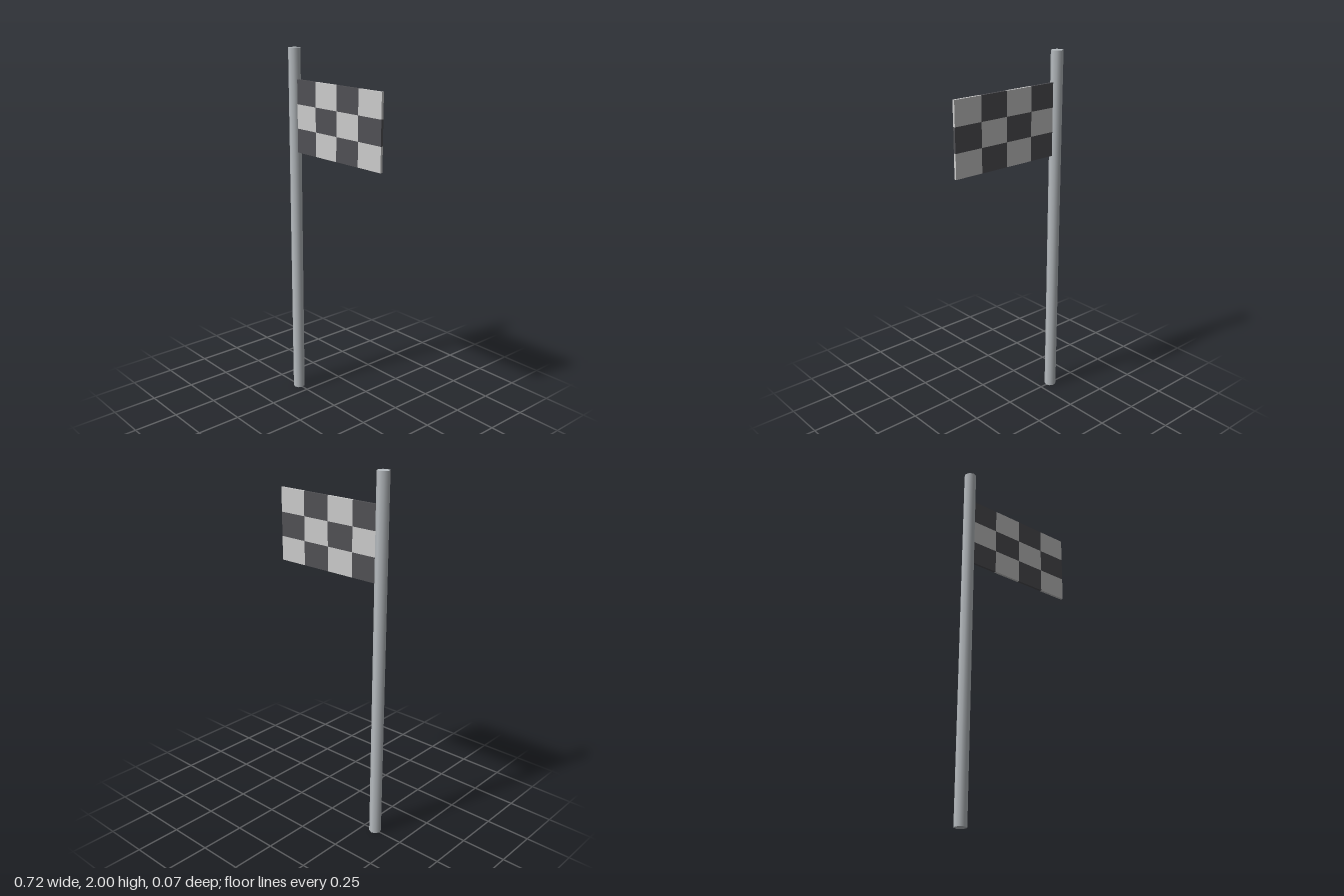
import * as THREE from 'three';

export function createModel() {
  const model = new THREE.Group();
  const mat = (color) => new THREE.MeshStandardMaterial({ color });
  const light = mat(0xcccccc), dark = mat(0x505054), metal = mat(0xb8bdc1);

  // Eight-sided pole
  const poleX = -0.325, radius = 0.033;
  const pole = new THREE.Mesh(new THREE.CylinderGeometry(radius, radius, 2, 8), metal);
  pole.name = 'pole';
  pole.position.set(poleX, 1, 0);
  model.add(pole);

  // Chequered flag: 4 x 3 thin panels, its inner edge set into the pole
  const flag = new THREE.Group();
  flag.name = 'flag';
  const cols = 4, rows = 3, w = 0.166, h = 0.132, left = -0.307, bottom = 1.439;
  const panel = new THREE.BoxGeometry(w, h, 0.0134);
  for (let r = 0; r < rows; r++) {
    for (let c = 0; c < cols; c++) {
      const cell = new THREE.Mesh(panel, (r + c) % 2 === 0 ? dark : light);
      cell.name = `flagPanel${r + 1}_${c + 1}`;
      cell.position.set(left + w * (c + 0.5), bottom + h * (r + 0.5), 0);
      flag.add(cell);
    }
  }
  model.add(flag);
  return model;
}
